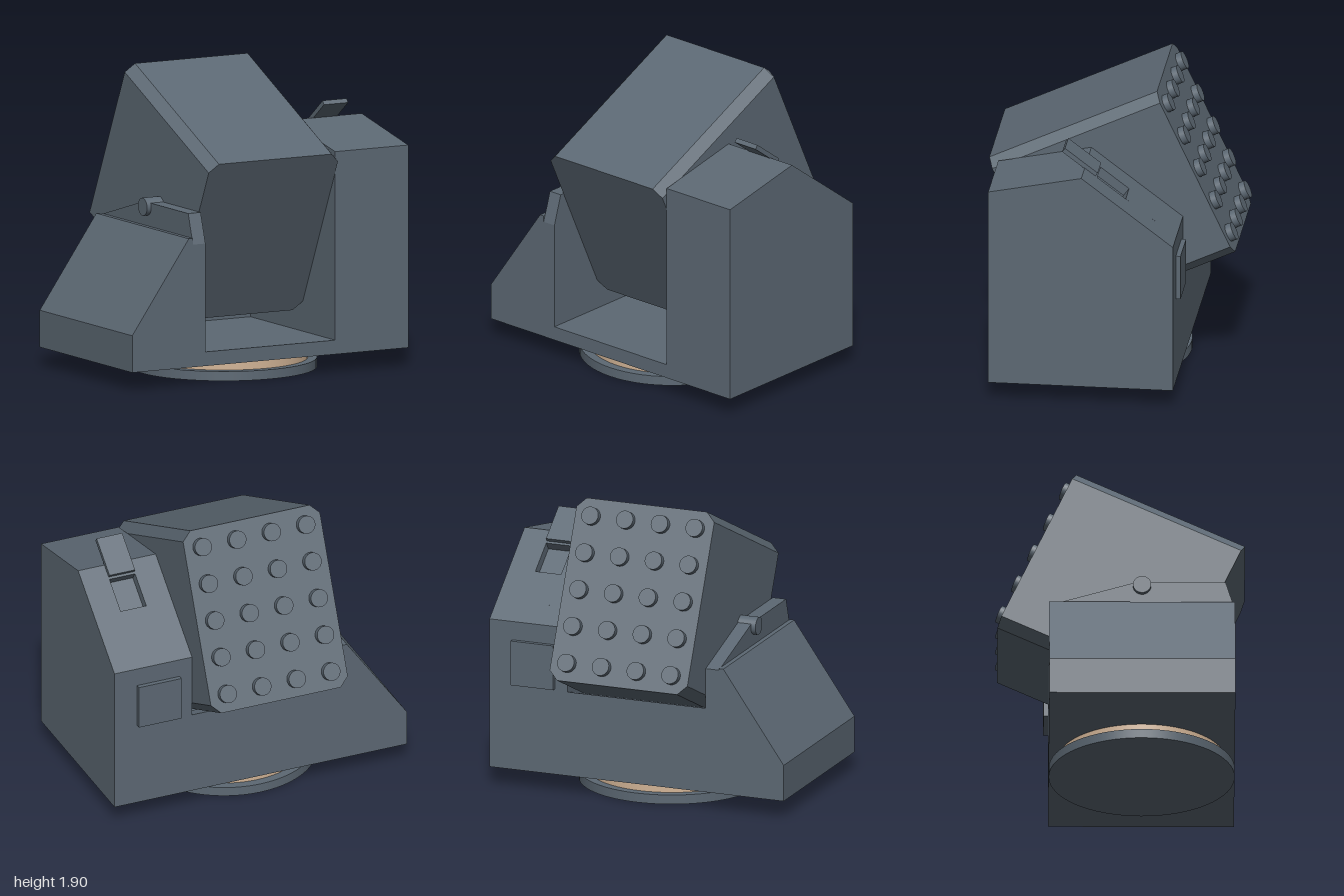
import * as THREE from 'three';

const hull = new THREE.MeshStandardMaterial({ color: 0x5c6873 });
hull.name = 'blueGreyHull';
const tan = new THREE.MeshStandardMaterial({ color: 0xd2b496 });
tan.name = 'tanRing';

function add(parent, name, geometry, material = hull, x = 0, y = 0, z = 0) {
  const mesh = new THREE.Mesh(geometry, material);
  mesh.name = name;
  mesh.position.set(x, y, z);
  parent.add(mesh);
  return mesh;
}

// Extrudes a side profile of [z, y] points from x0 to x1
function sideProfile(points, x0, x1) {
  const shape = new THREE.Shape(points.map(([z, y]) => new THREE.Vector2(-z, y)));
  return new THREE.ExtrudeGeometry(shape, { depth: x1 - x0, bevelEnabled: false })
    .rotateY(Math.PI / 2).translate(x0, 0, 0);
}

// Extrudes a front profile of [x, y] points from z0 to z1
function frontProfile(points, z0, z1) {
  const shape = new THREE.Shape(points.map(([x, y]) => new THREE.Vector2(x, y)));
  return new THREE.ExtrudeGeometry(shape, { depth: z1 - z0, bevelEnabled: false })
    .translate(0, 0, z0);
}

export function createModel() {
  const group = new THREE.Group();
  group.name = 'launcherTurret';
  const back = -0.45, front = 0.72, bottom = 0.12, midZ = 0.135;

  // Turntable
  add(group, 'baseDisc', new THREE.CylinderGeometry(0.585, 0.585, 0.06, 64), hull, 0, 0.03, midZ);
  add(group, 'turntableRing', new THREE.CylinderGeometry(0.528, 0.528, 0.06, 64), tan, 0, 0.09, midZ);

  // Cradle floor with its low rear wall
  add(group, 'cradleFloor', sideProfile([
    [front, bottom], [front, 0.21], [back + 0.1, 0.21], [back + 0.1, 0.64], [back, 0.67], [back, bottom],
  ], -0.47, 0.47));

  // Tall housing, with a hatch recess cut in the middle slice
  const housing = new THREE.Group();
  housing.name = 'tallHousing';
  group.add(housing);
  const start = [[front, bottom], [front, 1.41], [0.13, 1.53]];
  const end = [[back, 1.09], [back, bottom]];
  const recess = [[0.05, 1.469], [0.086, 1.421], [-0.094, 1.285], [-0.13, 1.333]];
  add(housing, 'housingInner', sideProfile([...start, ...end], 0.47, 0.645));
  add(housing, 'housingMiddle', sideProfile([...start, ...recess, ...end], 0.645, 0.82));
  add(housing, 'housingOuter', sideProfile([...start, ...end], 0.82, 1));
  const lid = add(housing, 'hatchLid', new THREE.BoxGeometry(0.175, 0.03, 0.26), hull, 0.733, 1.566, 0.16);
  lid.rotation.x = -Math.atan2(0.44, 0.58);
  add(housing, 'rearAccessPanel', new THREE.BoxGeometry(0.29, 0.29, 0.03), hull, 0.7, 0.825, back - 0.015);

  // Sloped housing and pivot wall on the other side
  add(group, 'slopedHousing', frontProfile([
    [-1, bottom], [-0.56, bottom], [-0.56, 0.94], [-0.59, 0.94], [-1, 0.355],
  ], back, front));
  add(group, 'pivotWall', sideProfile([
    [front, bottom], [front, 0.9], [0.66, 1.09], [0.1, 1.09], [back, 0.93], [back, bottom],
  ], -0.56, -0.47));
  add(group, 'pivotPin', new THREE.CylinderGeometry(0.057, 0.057, 0.14, 32).rotateZ(Math.PI / 2),
    hull, -0.52, 1.062, midZ);

  // Tilted launcher pod with chamfered long edges
  const pod = new THREE.Group();
  pod.name = 'launcherPod';
  pod.position.set(0, 1.125, 0.005);
  pod.rotation.x = THREE.MathUtils.degToRad(25);
  group.add(pod);
  const w = 0.468, h = 0.586, c = 0.06;
  add(pod, 'podShell', frontProfile([
    [-w + c, -h], [w - c, -h], [w, -h + c], [w, h - c],
    [w - c, h], [-w + c, h], [-w, h - c], [-w, -h + c],
  ], -h, h));

  // Four columns by five rows of studs on the rear face
  const stud = new THREE.CylinderGeometry(0.057, 0.057, 0.04, 24).rotateX(Math.PI / 2);
  for (let col = 0; col < 4; col++) {
    for (let row = 0; row < 5; row++) {
      add(pod, 'tubeCap', stud, hull, (col - 1.5) * 0.236, (row - 2) * 0.236, -h - 0.02);
    }
  }
  return group;
}
